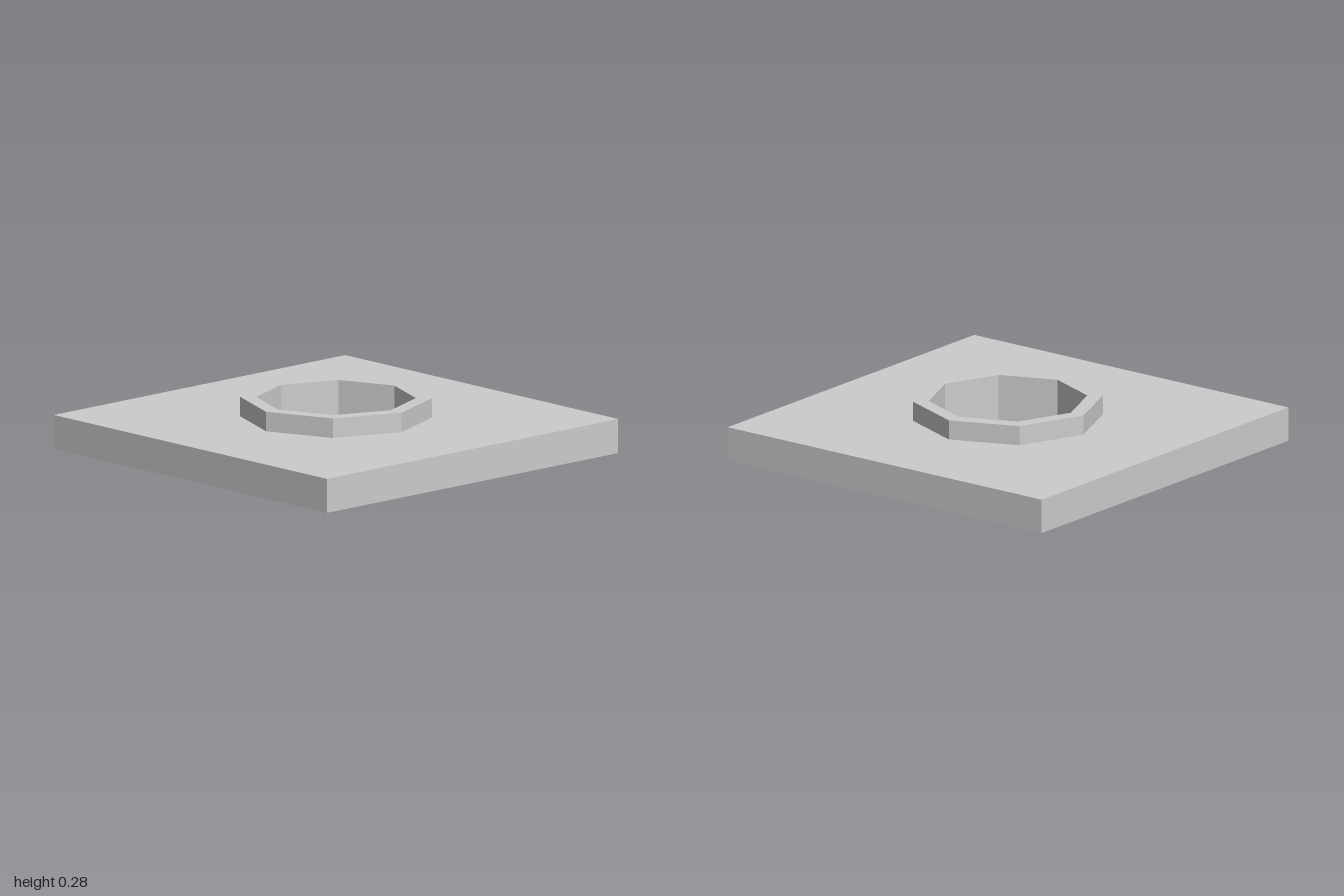
import * as THREE from 'three';

const SIDES = 8;
const HOLE_RADIUS = 0.4;
const COLLAR_RADIUS = 0.48;
const PLATE_HEIGHT = 0.175;
const COLLAR_HEIGHT = 0.1;

// Corner points of a regular octagon with corners on the axes
function octagon(radius) {
  return Array.from({ length: SIDES }, (_, i) => {
    const a = (i / SIDES) * Math.PI * 2;
    return new THREE.Vector2(radius * Math.cos(a), radius * Math.sin(a));
  });
}

// Upright slab from an outline, pierced by the octagonal hole
function piercedSlab(name, outline, height, baseY, material) {
  const shape = new THREE.Shape(outline);
  shape.holes.push(new THREE.Path(octagon(HOLE_RADIUS).reverse()));
  const geometry = new THREE.ExtrudeGeometry(shape, { depth: height, bevelEnabled: false });
  geometry.rotateX(-Math.PI / 2);
  const mesh = new THREE.Mesh(geometry, material);
  mesh.name = name;
  mesh.position.y = baseY;
  return mesh;
}

export function createModel() {
  const model = new THREE.Group();
  model.name = 'collaredPlate';
  const material = new THREE.MeshStandardMaterial({ color: 0xcccccc, flatShading: true });

  // Square base plate
  const square = [[-1, -1], [1, -1], [1, 1], [-1, 1]].map(([x, y]) => new THREE.Vector2(x, y));
  model.add(piercedSlab('basePlate', square, PLATE_HEIGHT, 0, material));

  // Raised octagonal collar around the hole
  model.add(piercedSlab('collar', octagon(COLLAR_RADIUS), COLLAR_HEIGHT, PLATE_HEIGHT, material));

  return model;
}
